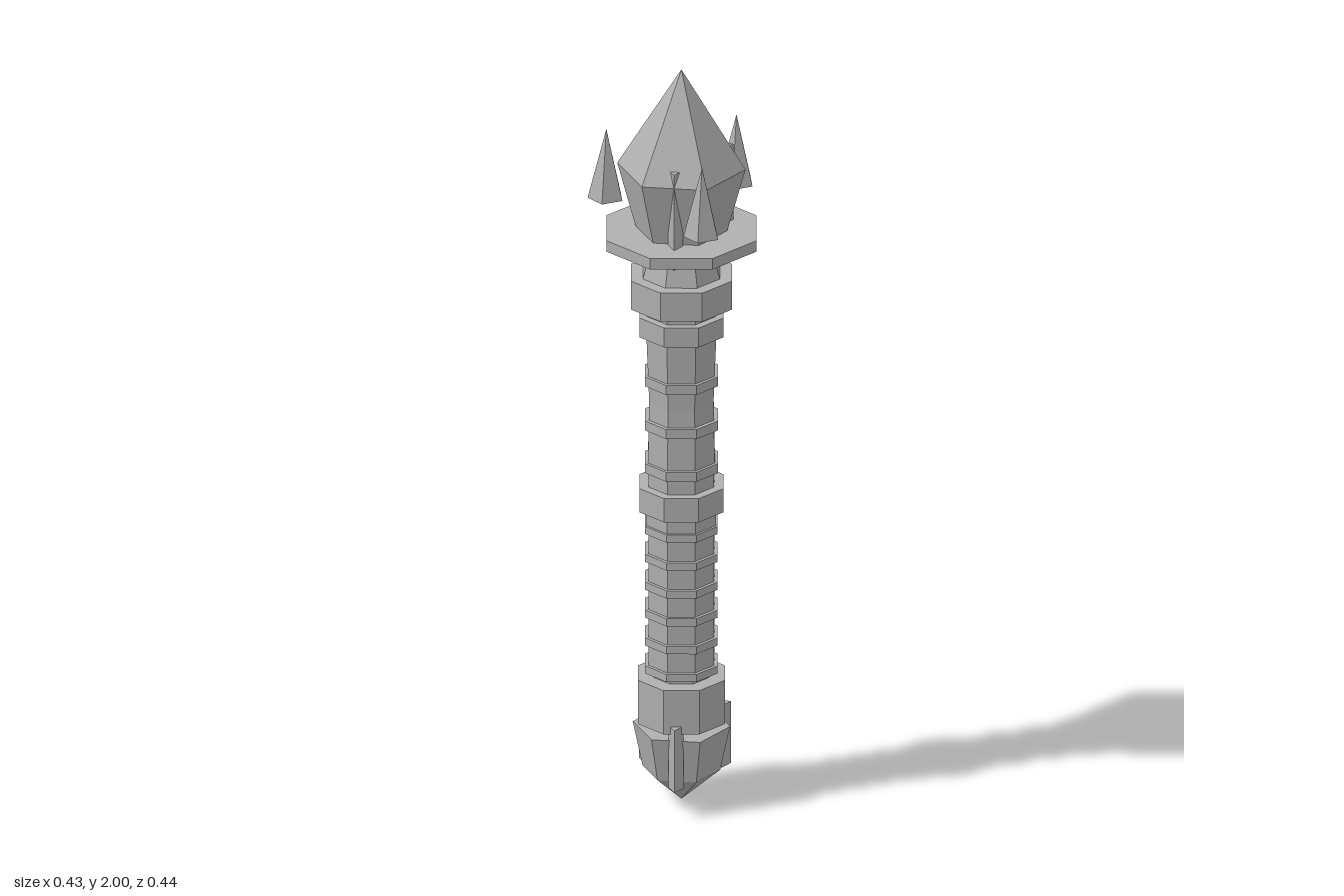
import * as THREE from 'three';

export function createModel() {
  const model = new THREE.Group();
  const stone = new THREE.MeshStandardMaterial({ color: 0xb0b0b0, flatShading: true });
  stone.name = 'pale grey';
  const CX = -0.012, CZ = -0.016; // axis of the staff

  // Faceted prism or cone between two heights, first corner towards +z
  function prism(name, sides, y0, y1, r0, r1 = r0, x = CX, z = CZ, turn = 0) {
    const geometry = new THREE.CylinderGeometry(r1, r0, y1 - y0, sides);
    const mesh = new THREE.Mesh(geometry, stone);
    mesh.name = name;
    mesh.position.set(x, (y0 + y1) / 2, z);
    mesh.rotation.y = turn;
    model.add(mesh);
  }

  // Six-sided pommel with a pointed foot
  prism('pommelPoint', 6, 0, 0.085, 0, 0.098);
  prism('pommel', 6, 0.085, 0.205, 0.098, 0.123);

  // Octagonal handle: lower collar, grip, middle ring, upper grip
  prism('lowerCollar', 8, 0.225, 0.345, 0.118);
  prism('lowerNeck', 8, 0.34, 0.37, 0.075);
  prism('lowerGrip', 8, 0.36, 0.77, 0.089);
  prism('middleRingBase', 8, 0.765, 0.81, 0.094);
  prism('middleRing', 8, 0.805, 0.87, 0.114);
  prism('middleNeck', 8, 0.865, 0.915, 0.089);
  prism('upperGripLow', 8, 0.91, 1.1, 0.091, 0.087);
  prism('upperGripHigh', 8, 1.1, 1.29, 0.087, 0.095);
  for (let i = 0; i < 6; i++) {
    const y = 0.36 + i * 0.0765;
    prism('lowerGripBand', 8, y, y + 0.021, 0.098);
  }
  for (const y of [0.91, 1.027, 1.148]) prism('upperGripBand', 8, y, y + 0.026, 0.099);

  // Upper rings and head plate
  prism('upperRing', 8, 1.285, 1.338, 0.114);
  prism('upperNeck', 8, 1.335, 1.37, 0.093);
  prism('headCollar', 8, 1.365, 1.443, 0.137);
  prism('headNeck', 8, 1.44, 1.54, 0.105, 0.078);
  prism('headPlate', 8, 1.535, 1.565, 0.203);

  // Six-sided crystal
  prism('crystalBase', 6, 1.55, 1.735, 0.112, 0.162);
  prism('crystalPoint', 6, 1.735, 2, 0.162, 0);

  // Three triangular prongs around the crystal and three around the pommel
  for (let i = 0; i < 3; i++) {
    const a = Math.PI / 2 + i * 2 * Math.PI / 3;
    const s = Math.sin(a), c = Math.cos(a);
    prism('crystalProng', 3, 1.51, 1.772, 0.022, 0.022, CX + s * 0.119, CZ + c * 0.119, a);
    prism('pommelProng', 3, 0.075, 0.245, 0.022, 0.022, CX + s * 0.112, CZ + c * 0.112, a);
  }

  // Floating five-sided shards
  for (const [x, z] of [[-0.167, -0.133], [0.168, -0.091], [-0.036, 0.178]]) {
    prism('shard', 5, 1.628, 1.815, 0.047, 0, x, z, Math.PI);
  }
  return model;
}
